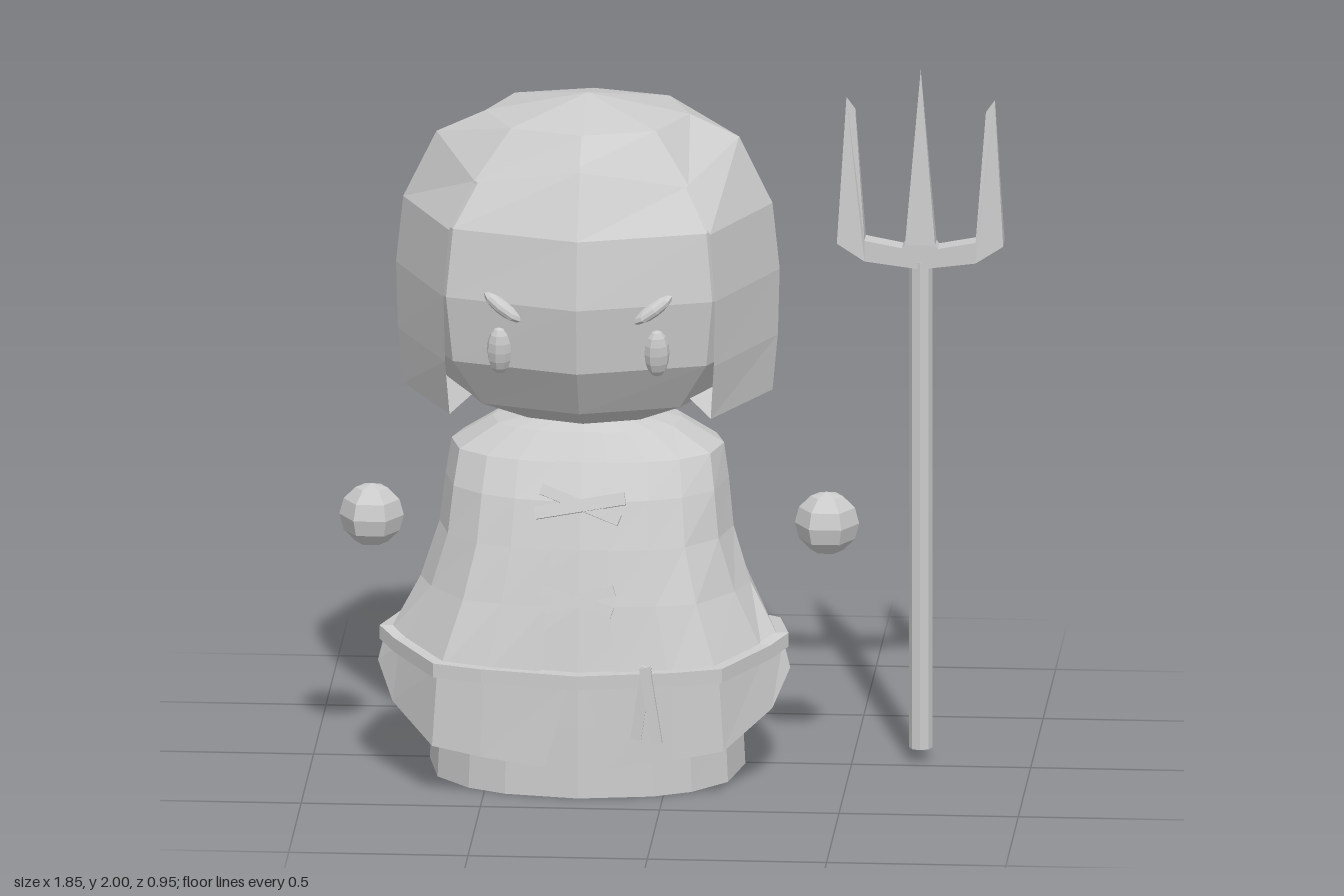
import * as THREE from 'three';

const CX = -0.235; // the figure stands to one side of the fork
const RAD = Math.PI / 180;
const mat = new THREE.MeshStandardMaterial({ color: 0xcccccc, flatShading: true });
const thinMat = new THREE.MeshStandardMaterial({ color: 0xcccccc, flatShading: true, side: THREE.DoubleSide });

function add(parent, name, geometry, material = mat) {
  const mesh = new THREE.Mesh(geometry, material);
  mesh.name = name;
  parent.add(mesh);
  return mesh;
}

// Skin between rows of points; rows run upwards, columns counterclockwise from above
function loft(rows) {
  const n = rows[0].length, pos = [], idx = [];
  rows.forEach(r => r.forEach(p => pos.push(...p)));
  for (let i = 0; i < rows.length - 1; i++)
    for (let j = 0; j < n - 1; j++) {
      const a = i * n + j, b = a + 1, c = b + n, d = a + n;
      idx.push(a, b, c, a, c, d);
    }
  const g = new THREE.BufferGeometry();
  g.setAttribute('position', new THREE.Float32BufferAttribute(pos, 3));
  g.setIndex(idx);
  g.computeVertexNormals();
  return g;
}

// Piecewise linear lookup in [key, value] pairs
function lerpKeys(keys, k) {
  for (let i = 1; i < keys.length; i++)
    if (k <= keys[i][0]) {
      const [a, va] = keys[i - 1], [b, vb] = keys[i];
      return va + (vb - va) * Math.max(0, (k - a) / (b - a));
    }
  return keys[keys.length - 1][1];
}
const foldDeg = a => (a > Math.PI ? 2 * Math.PI - a : a) / RAD;
const beltY = a => lerpKeys([[0, 0.35], [45, 0.367], [90, 0.4], [135, 0.335], [180, 0.31]], foldDeg(a));
const hemY = a => lerpKeys([[9, 0.1], [45, 0.145], [67, 0.22], [90, 0.32], [112, 0.22], [135, 0.13], [157, 0.1], [180, 0.09]], foldDeg(a));

// Oval cross-section: half width, front z, back z, z of the widest place;
// flat = 1 gives a broad front with straight panels running to the sides
function oval(a, [hx, zf, zb, zc, flat = 0], y) {
  const s = Math.abs(Math.sin(a)), c = Math.cos(a);
  const power = 0.75 - 0.3 * flat;
  let f = c > 0 ? Math.pow(c, power) : -Math.pow(-c, 0.85);
  if (c > 0 && s > Math.SQRT1_2) {
    const chord = Math.pow(Math.SQRT1_2, power) * (1 - s) / (1 - Math.SQRT1_2);
    f += (chord - f) * flat;
  }
  return [CX + hx * Math.sin(a), y, zc + f * (f > 0 ? zf - zc : zc - zb)];
}
function anglesFrom(start) {
  const half = [start, 28, 45, 67, 90, 112, 135, 157];
  return [...half, 180, ...half.map(d => 360 - d).reverse()].map(d => d * RAD);
}
const ring = (as, size, y) => as.map(a => oval(a, size, typeof y === 'function' ? y(a) : y));

// Eight-sided ring of the head; the corners are pushed out a little
function headRing([rx, rz, y, drop = 0], from = 0, to = 8) {
  const points = [];
  for (let i = from; i <= to; i++) {
    const a = i * Math.PI / 4, odd = i % 2, back = Math.cos(a) < 0;
    const kx = odd && back ? 1.07 : 1, kz = odd ? 1.05 : 1;
    points.push([CX + rx * kx * Math.sin(a), y - odd * drop, rz * kz * Math.cos(a)]);
  }
  return points;
}

function bar(parent, name, a, b, width, depth, zTilt = 0) {
  const m = add(parent, name, new THREE.BoxGeometry(Math.hypot(b[0] - a[0], b[1] - a[1]), width, depth));
  m.position.set((a[0] + b[0]) / 2, (a[1] + b[1]) / 2, a[2]);
  m.rotation.set(zTilt, 0, Math.atan2(b[1] - a[1], b[0] - a[0]));
}

function buildHead(root) {
  const head = new THREE.Group();
  head.name = 'head';
  root.add(head);
  const face = [
    [0, 0, 1.02], [0.22, 0.21, 1.03], [0.39, 0.36, 1.1], [0.5, 0.45, 1.24],
    [0.525, 0.475, 1.43], [0.5, 0.44, 1.62], [0.41, 0.33, 1.79, 0.06], [0, 0, 1.9],
  ];
  add(head, 'face', loft(face.map(r => headRing(r))));

  // Bob of hair: closed crown, sides open at the face, rim turned in below
  const crown = [[0.422, 0.345, 1.81, 0.07], [0.285, 0.245, 1.873], [0, 0, 1.93]];
  const sides = [
    [0.43, 0.38, 1.13], [0.515, 0.42, 1.08], [0.53, 0.46, 1.24],
    [0.535, 0.475, 1.43], [0.515, 0.455, 1.62], crown[0],
  ];
  add(head, 'hairCrown', loft(crown.map(r => headRing(r))), thinMat);
  add(head, 'hairSides', loft(sides.map(r => headRing(r, 1, 7))), thinMat);

  for (const s of [-1, 1]) {
    const eye = add(head, 'eye', new THREE.SphereGeometry(1, 8, 8));
    eye.scale.set(0.036, 0.07, 0.03);
    eye.position.set(CX + s * 0.22, 1.29, 0.392);
    eye.rotation.set(0.15, s * 0.3, 0);
    const brow = add(head, 'eyebrow', new THREE.SphereGeometry(1, 8, 6));
    brow.scale.set(0.066, 0.02, 0.025);
    brow.position.set(CX + s * 0.21, 1.42, 0.41);
    brow.rotation.set(0, s * 0.32, s * 0.58);
  }
}

function buildBody(root) {
  const body = new THREE.Group();
  body.name = 'body';
  root.add(body);
  const full = anglesFrom(0);

  // Underskirt with a closed bottom
  add(body, 'underskirt', loft([
    ring(full, [0, 0.01, 0.01, 0.01], 0),
    ring(full, [0.44, 0.4, -0.375, 0.01], 0),
    ring(full, [0.43, 0.395, -0.37, 0.01], 0.2),
    ring(full, [0.42, 0.385, -0.365, 0.01], 0.4),
  ]));

  // Coat, open down the middle of the front, over an undershirt
  const sections = [
    [[0.545, 0.435, -0.435, 0.15, 1], beltY],
    [[0.46, 0.39, -0.385, 0.09, 0.6], 0.55],
    [[0.41, 0.35, -0.34, 0.05, 0.2], 0.7],
    [[0.395, 0.305, -0.29, 0.02], 0.83],
    [[0.38, 0.24, -0.225, 0], 0.925],
    [[0.265, 0.18, -0.17, 0], 0.995],
    [[0.15, 0.14, -0.13, 0], 1.025],
  ];
  const open = anglesFrom(11);
  add(body, 'coat', loft(sections.map(([s, y]) => ring(open, s, y))), thinMat);
  const inner = sections.map(([s, y]) => ring(full, s.map(v => v * 0.965), y));
  inner.push(ring(full, [0, 0, 0, 0], 1.025));
  add(body, 'undershirt', loft(inner));

  // Coat tails; the front flaps part towards the hem
  add(body, 'coatTails', loft([
    ring(anglesFrom(9), [0.575, 0.445, -0.45, 0.15, 1], hemY),
    ring(anglesFrom(2), [0.555, 0.44, -0.45, 0.15, 1], beltY),
  ]), thinMat);

  // Sash following the tilted waist
  const outer = [0.57, 0.46, -0.465, 0.15, 1], inside = [0.53, 0.42, -0.425, 0.15, 1];
  const lift = d => a => beltY(a) + d;
  add(body, 'sash', loft([
    ring(full, inside, lift(-0.02)), ring(full, outer, lift(-0.02)),
    ring(full, outer, lift(0.02)), ring(full, inside, lift(0.02)),
  ]), thinMat);
  bar(body, 'sashTail', [-0.04, 0.4, 0.45], [-0.07, 0.19], 0.03, 0.02, 0.02);
  bar(body, 'sashTail', [-0.045, 0.4, 0.46], [-0.01, 0.18], 0.03, 0.02, -0.02);

  // Crossed laces
  bar(body, 'lace', [-0.36, 0.8, 0.315], [-0.11, 0.845], 0.035, 0.02, -0.35);
  bar(body, 'lace', [-0.345, 0.865, 0.305], [-0.125, 0.78], 0.03, 0.02, -0.35);
  bar(body, 'lace', [-0.34, 0.6, 0.387], [-0.14, 0.535], 0.03, 0.02, -0.25);
  bar(body, 'lace', [-0.33, 0.545, 0.392], [-0.135, 0.6], 0.03, 0.02, -0.25);

  // Floating hands
  for (const s of [-1, 1]) {
    const hand = add(root, s > 0 ? 'leftHand' : 'rightHand', new THREE.SphereGeometry(0.09, 6, 6));
    hand.position.set(-0.2 + s * 0.635, 0.71, 0.045);
  }
}

function buildFork(root) {
  const fork = new THREE.Group();
  fork.name = 'pitchfork';
  fork.position.set(0.69, 0, -0.048);
  root.add(fork);
  add(fork, 'shaft', new THREE.CylinderGeometry(0.033, 0.033, 1.41, 8)).position.y = 0.745;

  // Prongs: symmetrical outline, thinning towards the tips
  const half = [[0.042, 1.5], [0.05, 1.49], [0.155, 1.51], [0.182, 1.88], [0.207, 1.915], [0.232, 1.5], [0.155, 1.45]];
  const outline = [[0, 2], ...half, [0, 1.43], ...half.map(([x, y]) => [-x, y]).reverse()];
  const shape = new THREE.Shape(outline.map(([x, y]) => new THREE.Vector2(x, y)));
  const g = new THREE.ExtrudeGeometry(shape, { depth: 0.06, bevelEnabled: false });
  g.translate(0, 0, -0.03);
  const P = g.attributes.position;
  for (let i = 0; i < P.count; i++) {
    const y = P.getY(i);
    if (y > 1.52) P.setZ(i, P.getZ(i) * Math.max(0.02, 1 - (y - 1.5) / 0.5));
  }
  add(fork, 'prongs', g);
}

export function createModel() {
  const root = new THREE.Group();
  root.name = 'farmerFigure';
  buildHead(root);
  buildBody(root);
  buildFork(root);
  return root;
}
